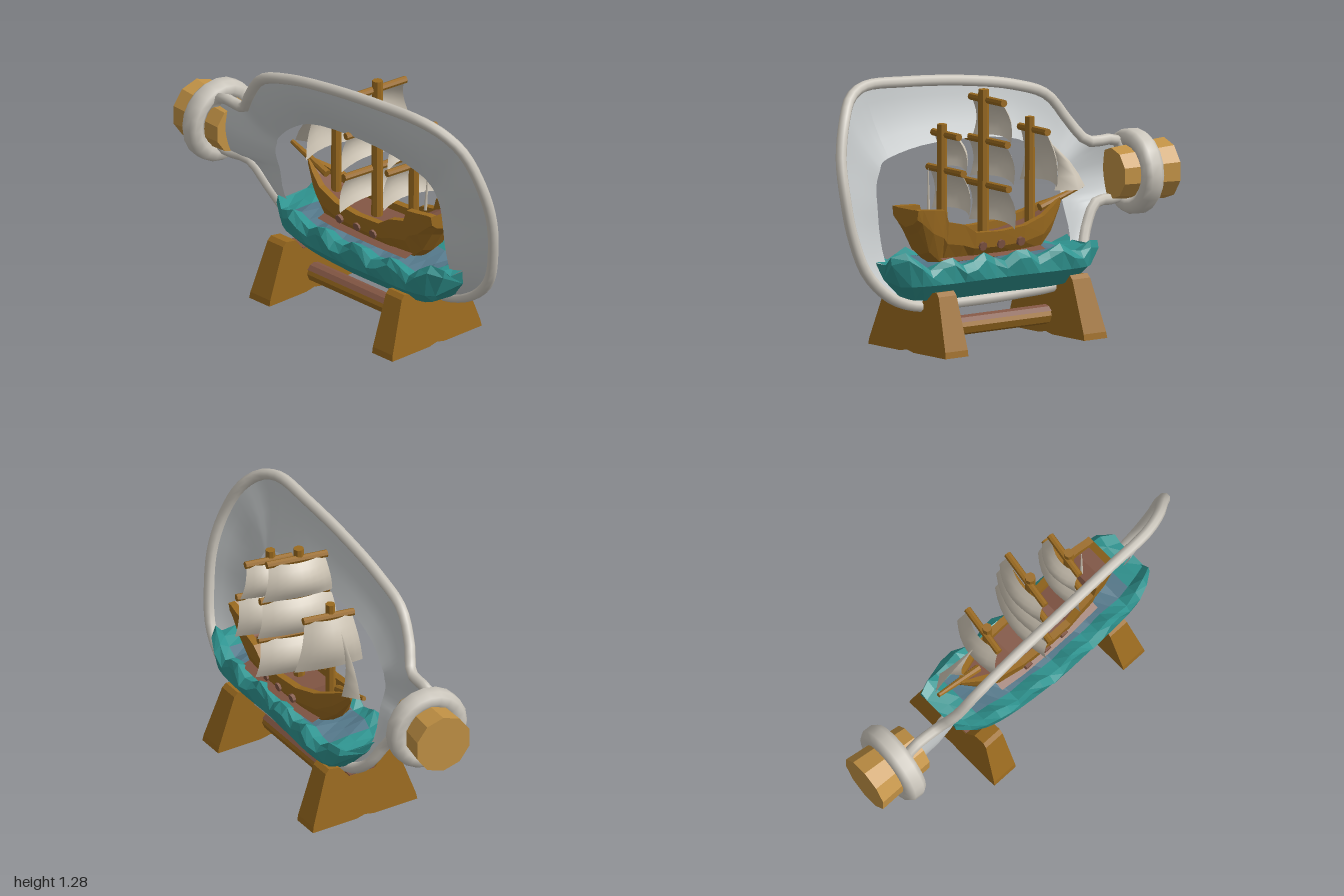
import * as THREE from 'three';

const mat = (name, color, flat = false, side = THREE.FrontSide) => {
  const m = new THREE.MeshStandardMaterial({ color, flatShading: flat, side });
  m.name = name;
  return m;
};

// Skin between cross-sections (arrays of [x, y, z], counter-clockwise seen from +z)
function loft(sections, closed = true, caps = false) {
  const n = sections[0].length, pos = sections.flat(2), idx = [];
  for (let i = 0; i < sections.length - 1; i++) {
    for (let j = 0; j < (closed ? n : n - 1); j++) {
      const k = (j + 1) % n, a = i * n + j, b = i * n + k;
      idx.push(a, b, b + n, a, b + n, a + n);
    }
  }
  if (caps) {
    [0, sections.length - 1].forEach((s, end) => {
      const c = pos.length / 3;
      for (let d = 0; d < 3; d++) pos.push(sections[s].reduce((t, p) => t + p[d], 0) / n);
      for (let j = 0; j < n; j++) {
        const a = s * n + j, b = s * n + (j + 1) % n;
        end ? idx.push(c, a, b) : idx.push(c, b, a);
      }
    });
  }
  const g = new THREE.BufferGeometry();
  g.setAttribute('position', new THREE.Float32BufferAttribute(pos, 3));
  g.setIndex(idx);
  g.computeVertexNormals();
  return g;
}

export function createModel() {
  const D = THREE.DoubleSide;
  const wood = mat('wood', 0x9a6a1f, true), cork = mat('cork', 0xc29245, true);
  const deckMat = mat('deck red brown', 0x825644, true, D);
  const teal = mat('sea teal', 0x2f9490, true, D), seaTop = mat('sea blue grey', 0x54788a, true, D);
  const sailMat = mat('sail cloth', 0xcdc4b4, false, D);
  const glass = mat('glass', 0xc6cacb, false, D), rimMat = mat('glass edge', 0xcbc6bc);
  const root = new THREE.Group();
  const add = (name, geo, m, parent = root) => {
    const mesh = new THREE.Mesh(geo, m);
    mesh.name = name;
    parent.add(mesh);
    return mesh;
  };
  const rod = (name, a, b, r, m, parent, r2 = r) => {
    const A = new THREE.Vector3(...a), B = new THREE.Vector3(...b), d = B.clone().sub(A);
    const mesh = add(name, new THREE.CylinderGeometry(r2, r, d.length(), 8), m, parent);
    mesh.position.copy(A).add(B).multiplyScalar(0.5);
    mesh.quaternion.setFromUnitVectors(new THREE.Vector3(0, 1, 0), d.normalize());
    return mesh;
  };

  // Stand: two notched trestles with red-brown saddles, and a crossbar
  const s = new THREE.Shape();
  [[-0.29, 0.01], [-0.05, 0.01], [0, 0.02], [0.05, 0.01], [0.29, 0.01], [0.285, 0.04], [0.2, 0.29], [0.18, 0.31],
    [0.12, 0.3], [0.07, 0.24], [-0.07, 0.24], [-0.12, 0.3], [-0.18, 0.31], [-0.2, 0.29], [-0.285, 0.04]]
    .forEach(([x, y], i) => (i ? s.lineTo(x, y) : s.moveTo(x, y)));
  for (const [z, dir] of [[0.46, 1], [-0.24, -1]]) {
    const g = new THREE.ExtrudeGeometry(s, { depth: 0.14, bevelEnabled: false });
    if (dir < 0) g.translate(0, 0, -0.14);
    const p = g.attributes.position;
    for (let i = 0; i < p.count; i++) p.setZ(i, z + p.getZ(i) * (1 - 0.8 * p.getY(i)));
    add('standTrestle', g, wood);
    add('saddle', new THREE.BoxGeometry(0.14, 0.008, 0.11), deckMat).position.set(0, 0.242, z + dir * 0.056);
  }
  rod('standCrossbar', [0, 0.1, -0.27], [0, 0.1, 0.49], 0.046, wood, root);
  const stain = new THREE.CylinderGeometry(0.049, 0.049, 0.7, 4, 1, true, Math.PI - 1.1, 2.2);
  stain.rotateX(Math.PI / 2);
  add('crossbarTop', stain, deckMat).position.set(0, 0.1, 0.11);

  // Sea: wavy trough, undercut at both ends, with a separate water surface
  const seaBody = [], water = [], last = 19;
  for (let i = 0; i <= last; i++) {
    const t = i / last, z = -0.42 + 1.2 * t, e = Math.abs(2 * t - 1);
    const cx = 0.05 * (1 - t) * e - 0.01 * t, w = 0.2 * Math.sqrt(1.04 - 0.62 * e ** 5);
    const rise = 0.06 * Math.max(0, (t - 0.85) / 0.15);
    const R = 0.445 + 0.028 * Math.sin(z * 29) + rise, L = 0.445 + 0.028 * Math.sin(z * 27 + 1.5) + rise;
    const wob = 0.012 * Math.sin(z * 21), yb = 0.26 + 0.05 * e ** 6, end = 0.05 * e ** 6 * (t > 0.5 ? -1 : 1);
    const iR = [cx + w * 0.6, R * 0.5 + 0.205, z], iL = [cx - w * 0.6, L * 0.5 + 0.205, z];
    seaBody.push([iL, [cx - w * 0.88, L, z], [cx - w - wob, L - 0.035, z], [cx - w * 0.97, 0.345, z + end],
      [cx - w * 0.55, yb, z + 1.7 * end], [cx + 0.03, yb - 0.01, z + 1.7 * end], [cx + w * 0.6, yb, z + 1.7 * end],
      [cx + w * 0.97, 0.345, z + end], [cx + w + wob, R - 0.035, z], [cx + w * 0.88, R, z], iR]);
    water.push([iR, [cx, 0.425 + rise * 0.5, z], iL]);
  }
  add('sea', loft(seaBody, false), teal);
  add('waterSurface', loft(water.slice(2, last - 1), false), seaTop);
  add('waterEndBack', loft(water.slice(0, 3), false), teal);
  add('waterEndFront', loft(water.slice(last - 2), false), teal);
  for (const row of [0, last]) { // closing ends of the sea
    const ring = seaBody[row], mid = ring.map(() => [0.02, 0.37, (ring[0][2] + ring[3][2]) / 2]);
    add('seaEnd', loft([ring, mid], true), teal);
  }

  // Ship
  const ship = new THREE.Group();
  ship.name = 'ship';
  ship.position.x = 0.028;
  root.add(ship);
  const hull = [], deck = [], waterline = [[], []];
  // z, half width, rail height, keel height, deck depth
  for (const [z, w, top, bot, dip] of [[-0.3, 0.012, 0.665, 0.61, 0.002], [-0.22, 0.06, 0.635, 0.49, 0.03],
    [-0.13, 0.1, 0.6, 0.42, 0.04], [0, 0.12, 0.568, 0.41, 0.04], [0.15, 0.126, 0.558, 0.41, 0.04],
    [0.3, 0.126, 0.565, 0.41, 0.04], [0.37, 0.122, 0.61, 0.41, 0.05], [0.46, 0.116, 0.63, 0.42, 0.04],
    [0.48, 0.114, 0.69, 0.42, 0.06], [0.54, 0.11, 0.695, 0.47, 0.04], [0.6, 0.1, 0.7, 0.57, 0.03],
    [0.63, 0.098, 0.7, 0.61, 0.002]]) {
    const i = Math.max(w - 0.035, w * 0.5), d = top - dip, m = bot + (top - bot) * 0.5;
    hull.push([[0, bot, z], [w * 0.6, bot + 0.02, z], [w * 0.92, m, z], [w, top, z], [i, top, z], [i, d, z],
      [-i, d, z], [-i, top, z], [-w, top, z], [-w * 0.92, m, z], [-w * 0.6, bot + 0.02, z]]);
    if (z < 0.61) deck.push([[i, d + 0.003, z], [-i, d + 0.003, z]]);
    if (bot < 0.43) [-1, 1].forEach((k, n) => waterline[n].push([[k * w * 0.65, 0.455, z], [k * (w * 0.7 + 0.04), 0.441, z]]));
  }
  add('hull', loft(hull, true, true), wood, ship);
  add('deck', loft(deck, false), deckMat, ship);
  for (const strip of waterline) add('waterlineShade', loft(strip, false), deckMat, ship);
  for (const side of [-1, 1]) {
    for (const z of [0.26, 0.15, 0.03]) {
      rod('porthole', [side * 0.1, 0.5, z], [side * 0.128, 0.495, z], 0.022, deckMat, ship);
    }
  }
  rod('bowsprit', [0, 0.62, -0.18], [0.01, 0.7, -0.43], 0.02, wood, ship, 0.011);
  rod('sternPole', [0, 0.66, 0.49], [0.01, 0.88, 0.5], 0.008, sailMat, ship, 0.002);

  // Square sail hanging below its yard, bowed across its width
  const sail = (wTop, wBot, h) => {
    const rows = [];
    for (let v = 0; v <= 6; v++) {
      const t = v / 6, w = wTop + (wBot - wTop) * t, belly = Math.sin(Math.PI * t);
      rows.push(Array.from({ length: 9 }, (_, u) => {
        const k = u / 4 - 1, bow = 1 - k * k;
        return [w * k, -h * t + 0.015 * t * bow, 0.005 - bow * (0.04 + 0.015 * belly) - 0.025 * belly - 0.025 * t];
      }));
    }
    return loft(rows, false);
  };
  // Masts: z, top, radius, then yards as [y, half length, sail drop, sail half width]
  const masts = [
    [0.41, 1.08, 0.026, [[1.03, 0.12, 0.17, 0.15], [0.86, 0.165, 0.2, 0.175]]],
    [0.16, 1.22, 0.028, [[1.17, 0.155, 0.19, 0.18], [0.975, 0.19, 0.19, 0.205], [0.765, 0.2, 0.19, 0.215]]],
    [-0.12, 1.06, 0.025, [[1.0, 0.13, 0.26, 0.175]]],
  ];
  for (const [z, top, r, yards] of masts) {
    rod('mast', [0, 0.48, z], [0.003, top, z], r, wood, ship, r * 0.9);
    for (const [y, half, drop, w] of yards) {
      const g = new THREE.Group();
      g.name = 'yardAndSail';
      g.position.set(0.02, y, z - 0.01);
      g.rotation.set(0, -0.15, 0.03);
      ship.add(g);
      rod('yard', [-half, 0, 0], [half, 0, 0], 0.018, wood, g);
      add('squareSail', sail(half * 0.92, w, drop), sailMat, g);
    }
  }
  // Triangular jib, bellied to one side
  const jib = [0, 0.25, 0.5, 0.75, 1].map((t) => [0, 0.5, 1].map((u) => [
    0.07 * Math.sin(Math.PI * u) * t + 0.03 * t * u, 0.95 - (0.26 - 0.01 * u) * t,
    -0.21 - t * (0.06 + 0.16 * u) - Math.sin(Math.PI * t) * (0.05 - 0.02 * u)]));
  add('jib', loft(jib, false), sailMat, ship);

  // Cutaway glass: outer edge z, y, x and opening edge z, y, x
  const edge = [[0.7, 1.26, -0.195, 0.62, 0.92, -0.11], [0.45, 1.255, -0.2, 0.42, 0.96, -0.11],
    [0.1, 1.225, -0.2, 0.1, 0.965, -0.11], [-0.2, 1.175, -0.195, -0.16, 0.93, -0.11],
    [-0.4, 1.105, -0.19, -0.29, 0.86, -0.11], [-0.51, 0.97, -0.165, -0.36, 0.8, -0.1],
    [-0.59, 0.875, -0.125, -0.385, 0.77, -0.1], [-0.76, 0.86, -0.115, -0.39, 0.745, -0.1],
    [-0.8, 0.73, -0.13, -0.4, 0.71, -0.1], [-0.76, 0.6, -0.1, -0.4, 0.66, -0.09],
    [-0.6, 0.585, -0.075, -0.4, 0.6, -0.07], [-0.51, 0.47, -0.04, -0.41, 0.45, -0.03],
    [-0.43, 0.33, 0.02, -0.36, 0.34, 0.01], [-0.3, 0.255, 0.05, -0.28, 0.27, 0.03],
    [0, 0.232, 0.065, 0, 0.26, 0.03], [0.35, 0.228, 0.065, 0.35, 0.25, 0.03],
    [0.6, 0.235, 0.07, 0.58, 0.26, 0.03], [0.77, 0.3, 0.075, 0.69, 0.36, 0.01],
    [0.89, 0.42, 0.06, 0.71, 0.46, -0.03], [0.95, 0.6, 0.03, 0.715, 0.58, -0.06],
    [0.97, 0.78, 0, 0.715, 0.7, -0.075], [0.955, 0.96, -0.05, 0.71, 0.8, -0.09],
    [0.89, 1.13, -0.105, 0.68, 0.87, -0.1], [0.81, 1.22, -0.16, 0.66, 0.9, -0.11]];
  const outer = new THREE.CatmullRomCurve3(edge.map(([z, y, x]) => new THREE.Vector3(x, y, z)), true);
  const inner = new THREE.CatmullRomCurve3(edge.map(([, , , z, y, x]) => new THREE.Vector3(x, y, z)), true);
  const shell = [];
  for (let i = 0; i <= 72; i++) {
    const a = outer.getPoint(i / 72), b = inner.getPoint(i / 72), width = a.distanceTo(b);
    shell.push([0, 0.25, 0.5, 0.75, 1].map((t) => {
      const p = a.clone().lerp(b, t);
      p.x -= 0.06 * width * Math.sin(Math.PI * t);
      return p.toArray();
    }));
  }
  add('glassShell', loft(shell, false), glass);
  add('glassRim', new THREE.TubeGeometry(outer, 96, 0.027, 8, true), rimMat);

  // Bottle lip and cork
  const neck = new THREE.Group();
  neck.name = 'neckEnd';
  neck.position.set(-0.063, 0.715, -0.82);
  neck.rotation.y = -0.08;
  root.add(neck);
  const lip = [[0.125, -0.04], [0.15, -0.055], [0.185, -0.05], [0.203, -0.025], [0.203, 0.025], [0.185, 0.05],
    [0.15, 0.055], [0.125, 0.04], [0.125, -0.04]].map(([x, y]) => new THREE.Vector2(x, y));
  add('bottleLip', new THREE.LatheGeometry(lip, 20), rimMat, neck).rotation.x = Math.PI / 2;
  const plug = add('cork', new THREE.CylinderGeometry(0.122, 0.146, 0.3, 10), cork, neck);
  plug.rotation.x = Math.PI / 2;
  plug.position.z = -0.023;
  return root;
}
